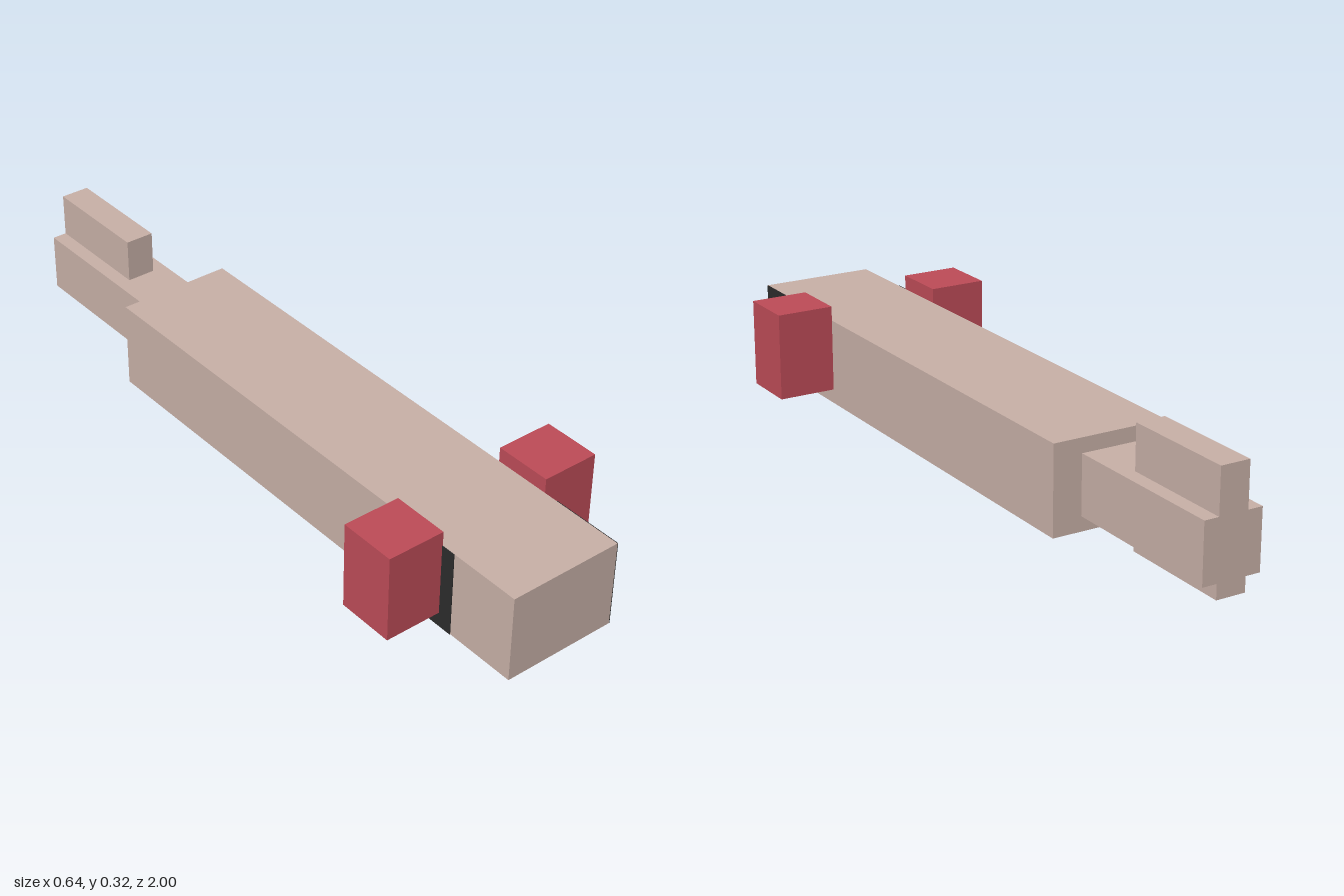
import * as THREE from 'three';

export function createModel() {
  const model = new THREE.Group();
  const material = (name, color) => {
    const m = new THREE.MeshStandardMaterial({ color });
    m.name = name;
    return m;
  };
  const taupe = material('taupe', 0xc9b1a8);
  const red = material('red', 0xbe4c58);
  const black = material('black', 0x2c2c2c);

  // Box given by its lower and upper limits on each axis
  const box = (name, mat, [x0, x1], [y0, y1], [z0, z1]) => {
    const mesh = new THREE.Mesh(new THREE.BoxGeometry(x1 - x0, y1 - y0, z1 - z0), mat);
    mesh.position.set((x0 + x1) / 2, (y0 + y1) / 2, (z0 + z1) / 2);
    mesh.name = name;
    model.add(mesh);
  };

  // Long body and narrower tail
  box('body', taupe, [-0.16, 0.16], [0, 0.24], [-0.52, 1]);
  box('tail', taupe, [-0.08, 0.08], [0.04, 0.2], [-1, -0.52]);

  // Ridges above and below the tail end
  box('upperTailRidge', taupe, [-0.04, 0.04], [0.2, 0.32], [-1, -0.68]);
  box('lowerTailRidge', taupe, [-0.04, 0.04], [0, 0.04], [-1, -0.68]);

  // Side blocks near the front
  box('leftBlock', red, [0.16, 0.32], [0.04, 0.28], [0.6, 0.76]);
  box('rightBlock', red, [-0.32, -0.16], [0.04, 0.28], [0.6, 0.76]);

  // Thin dark panels on the flanks
  box('leftPanel', black, [0.16, 0.162], [0, 0.24], [0.8, 1]);
  box('rightPanel', black, [-0.162, -0.16], [0, 0.24], [0.6, 0.8]);

  return model;
}
